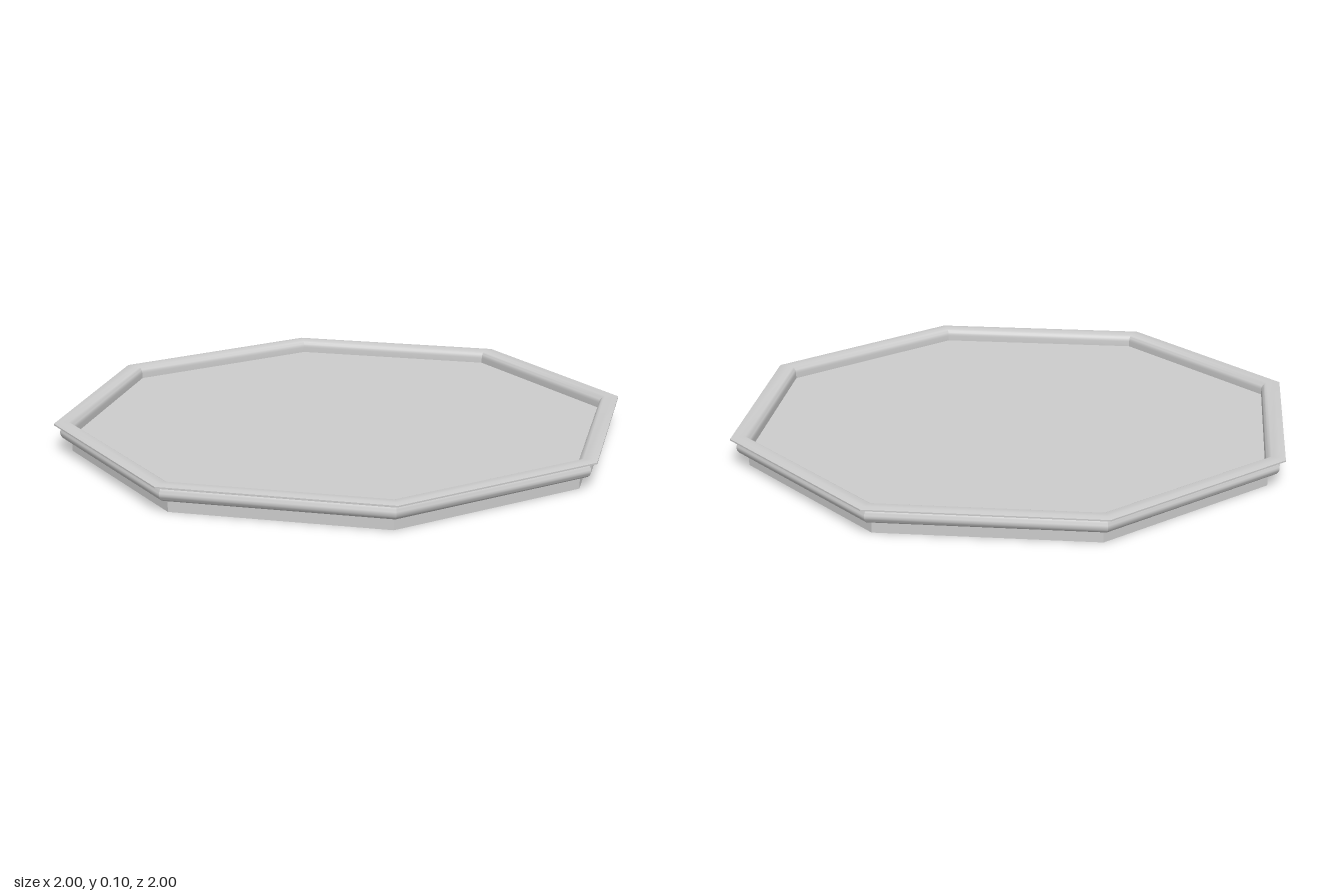
import * as THREE from 'three';
import { toCreasedNormals } from 'three/addons/utils/BufferGeometryUtils.js';

const SIDES = 8;

// Points along an elliptical arc in the (radius, height) plane
function arc(cx, cy, rx, ry, from, to, steps = 6) {
  return Array.from({ length: steps + 1 }, (_, i) => {
    const a = from + (to - from) * i / steps;
    return new THREE.Vector2(cx + rx * Math.cos(a), cy + ry * Math.sin(a));
  });
}

export function createModel() {
  const group = new THREE.Group();
  group.name = 'octagonalTray';
  const material = new THREE.MeshStandardMaterial({ color: 0xcccccc });

  // Solid base slab; its top is the tray floor
  const base = new THREE.Mesh(
    toCreasedNormals(new THREE.CylinderGeometry(0.94, 0.94, 0.06, SIDES), 0.6), material);
  base.position.y = 0.03;
  base.name = 'base';
  group.add(base);

  // Moulded rim: rounded outer bead, thin lip, rounded inner edge
  const profile = [
    new THREE.Vector2(0.935, 0.042),
    ...arc(0.955, 0.067, 0.025, 0.025, -Math.PI / 2, Math.PI / 4, 8),
    new THREE.Vector2(0.973, 0.093),
    new THREE.Vector2(1, 0.095),
    new THREE.Vector2(1, 0.1),
    new THREE.Vector2(0.98, 0.104),
    ...arc(0.957, 0.079, 0.027, 0.025, Math.PI / 2, Math.PI),
    new THREE.Vector2(0.93, 0.058),
  ];
  const rim = new THREE.Mesh(
    toCreasedNormals(new THREE.LatheGeometry(profile, SIDES), 0.6), material);
  rim.name = 'rim';
  group.add(rim);

  return group;
}
